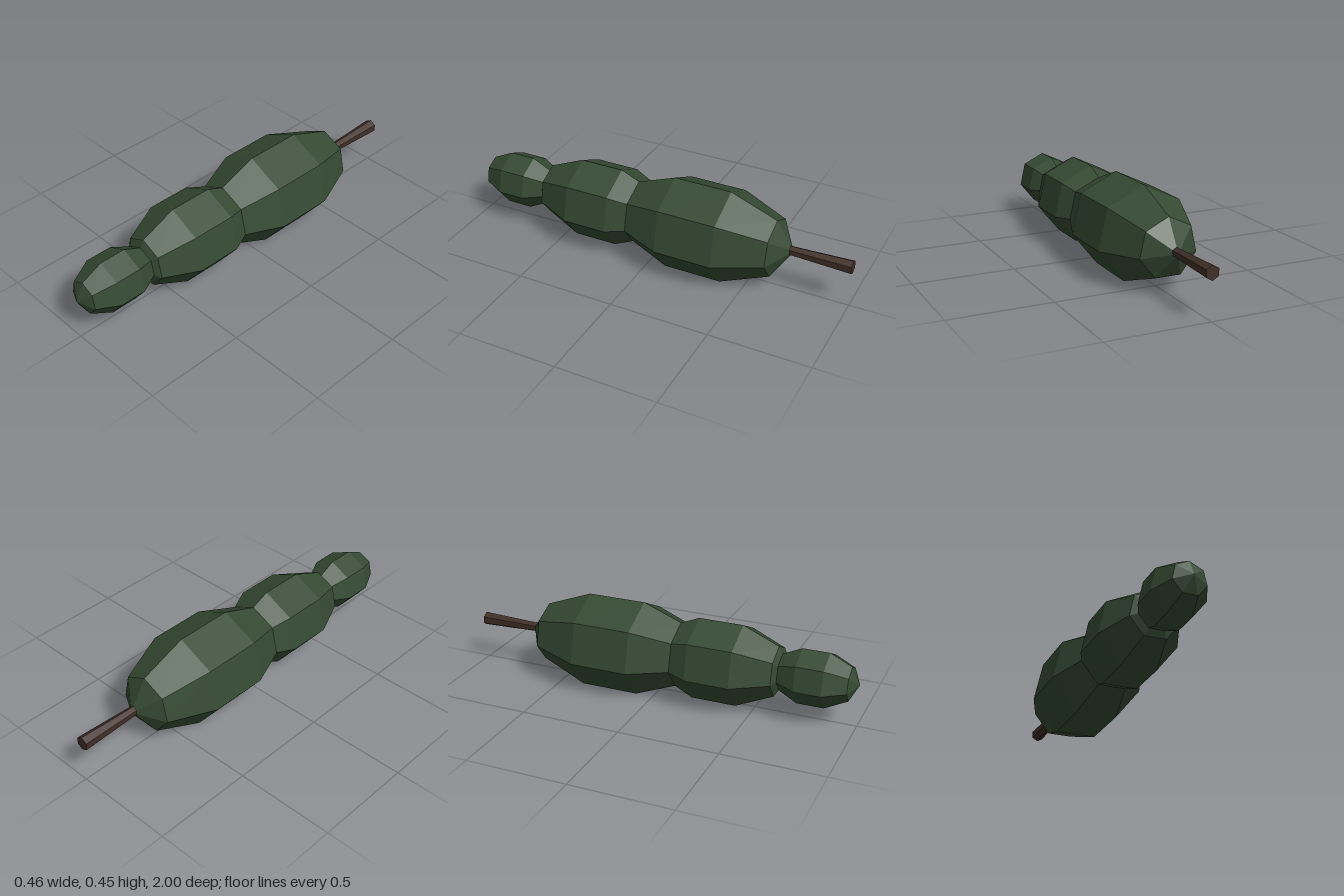
import * as THREE from 'three';

const leaf = new THREE.MeshStandardMaterial({ color: 0x354a33, flatShading: true });
const bark = new THREE.MeshStandardMaterial({ color: 0x3f2e27, flatShading: true });
const AXIS_Y = 0.214;

// Seven-sided stretched ball lying along z, one ridge pointing up
function lobe(name, z, radius, halfLength) {
  const geo = new THREE.SphereGeometry(1, 7, 5, -Math.PI / 2);
  geo.rotateX(Math.PI / 2);
  geo.scale(radius, radius, halfLength);
  const mesh = new THREE.Mesh(geo, leaf);
  mesh.name = name;
  mesh.position.set(0, AXIS_Y, z);
  return mesh;
}

export function createModel() {
  const group = new THREE.Group();
  group.name = 'foliage';

  // Three overlapping lobes, shrinking towards the front
  group.add(
    lobe('largeLobe', -0.235, 0.249, 0.475),
    lobe('middleLobe', 0.314, 0.213, 0.361),
    lobe('smallLobe', 0.785, 0.143, 0.215),
  );

  // Six-sided stem, wider at its free end
  const stemGeo = new THREE.CylinderGeometry(0.022, 0.035, 0.35, 6);
  stemGeo.rotateX(Math.PI / 2);
  const stem = new THREE.Mesh(stemGeo, bark);
  stem.name = 'stem';
  stem.position.set(0, AXIS_Y + 0.003, -0.825);
  group.add(stem);

  return group;
}
